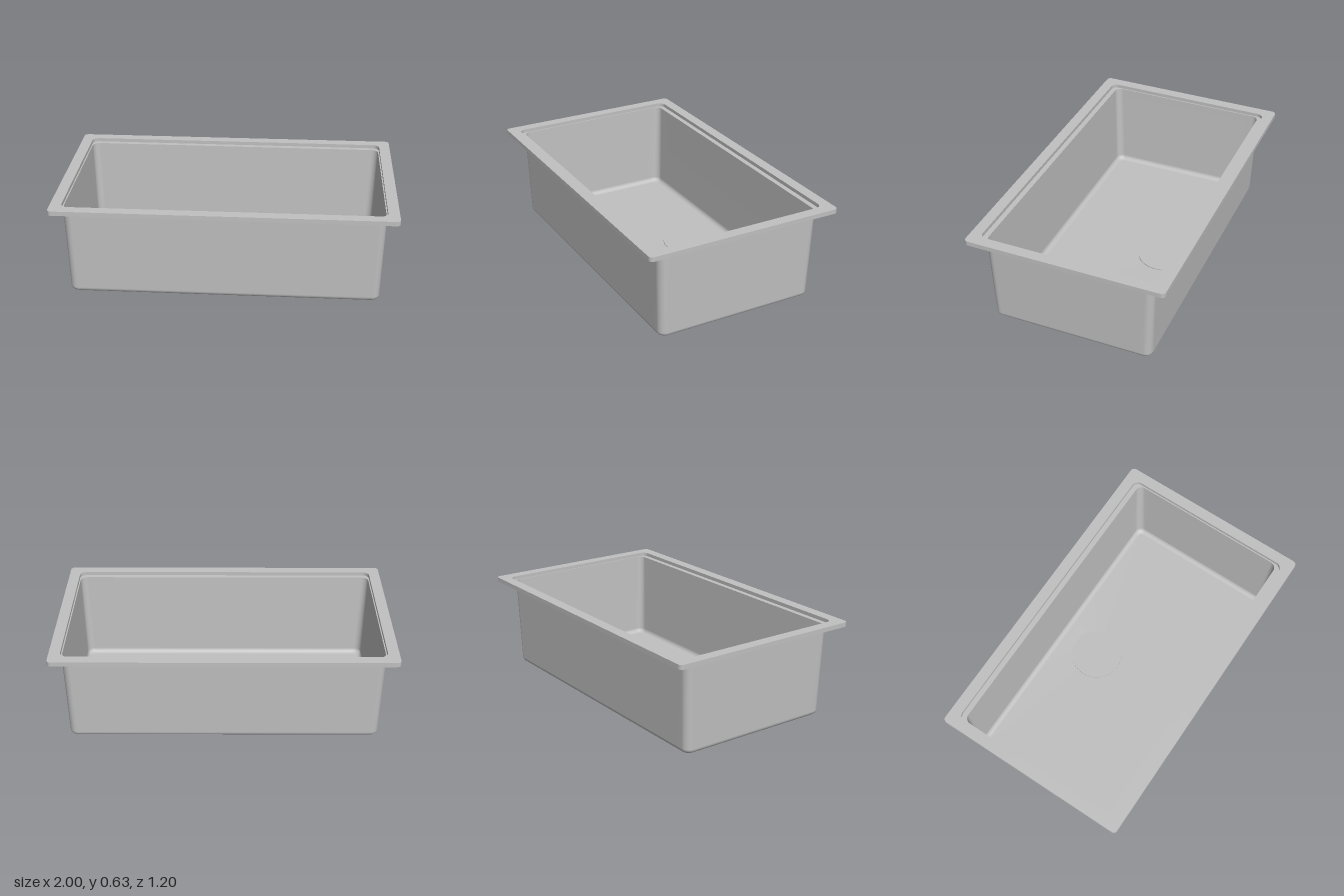
import * as THREE from 'three';

const DRAIN_Z = -0.215;
const ARC = 8, EDGE = 20;

// Rounded rectangle ring with evenly split straight edges
function rect(hx, hz, r, y) {
  const pts = [];
  const signs = [[1, 1], [-1, 1], [-1, -1], [1, -1]];
  const corner = (k, i) => {
    const a = (k % 4 + i / ARC) * Math.PI / 2;
    const [sx, sz] = signs[k % 4];
    return new THREE.Vector3(sx * (hx - r) + r * Math.cos(a), y, sz * (hz - r) + r * Math.sin(a));
  };
  for (let k = 0; k < 4; k++) {
    for (let i = 0; i <= ARC; i++) pts.push(corner(k, i));
    for (let i = 1; i < EDGE; i++) pts.push(corner(k, ARC).lerp(corner(k + 1, 0), i / EDGE));
  }
  return pts;
}

// Circle round the drain, its points lined up with those of the floor outline
function circle(r, y) {
  return rect(0.885, 0.462, 0.03, y).map((p) => {
    const a = Math.atan2(p.z - DRAIN_Z, p.x);
    return new THREE.Vector3(r * Math.cos(a), y, DRAIN_Z + r * Math.sin(a));
  });
}

// Skin joining consecutive rings
function loft(rings) {
  const n = rings[0].length, index = [];
  for (let j = 0; j < rings.length - 1; j++) {
    for (let i = 0; i < n; i++) {
      const a = j * n + i, b = j * n + (i + 1) % n;
      index.push(a, a + n, b, b, a + n, b + n);
    }
  }
  const g = new THREE.BufferGeometry().setFromPoints(rings.flat());
  g.setIndex(index);
  g.computeVertexNormals();
  return g;
}

// Rings of the rounded edge between floor and wall, from floor to wall
function fillet(hx, hz, y, r) {
  const rings = [];
  for (let i = 0; i <= 6; i++) {
    const a = i / 6 * Math.PI / 2, inset = r * (1 - Math.sin(a));
    rings.push(rect(hx - inset, hz - inset, 0.045 - inset * 0.5, y + r * (1 - Math.cos(a))));
  }
  return rings;
}

export function createModel() {
  const group = new THREE.Group();
  const steel = new THREE.MeshStandardMaterial({ color: 0xc0c0c0, side: THREE.DoubleSide });
  steel.name = 'brushed steel';
  const add = (name, geometry) => {
    const mesh = new THREE.Mesh(geometry, steel);
    mesh.name = name;
    group.add(mesh);
    return mesh;
  };

  // Outlet and outside of the bowl
  add('outletBottom', loft([circle(0, 0), circle(0.1, 0)]));
  add('bowlOutside', loft([
    circle(0.1, 0), circle(0.1, 0.018), circle(0.104, 0.03), circle(0.115, 0.039),
    circle(0.135, 0.043), circle(0.16, 0.0445),
    ...fillet(0.917, 0.493, 0.05, 0.03),
    rect(0.932, 0.509, 0.045, 0.598),
  ]));

  // Folded rim with a recessed ledge, each strip between two sharp edges
  const profile = [
    ['ledgeUnderside', [0.932, 0.509, 0.045, 0.598]],
    ['stepOutside', [0.94, 0.54, 0.045, 0.598]],
    ['rimUnderside', [0.94, 0.54, 0.045, 0.62]],
    ['lipInside', [0.993, 0.593, 0.018, 0.62]],
    ['lipBottom', [0.993, 0.593, 0.018, 0.6]],
    ['lipOutside', [1, 0.6, 0.025, 0.6]],
    ['rimTop', [1, 0.6, 0.025, 0.627]],
    ['stepInside', [0.934, 0.534, 0.04, 0.627]],
    ['ledgeTop', [0.934, 0.534, 0.04, 0.605]],
    ['', [0.927, 0.503, 0.04, 0.605]],
  ];
  for (let i = 0; i < profile.length - 1; i++) {
    add(profile[i][0], loft([rect(...profile[i][1]), rect(...profile[i + 1][1])]));
  }

  // Inside of the bowl, running down into the drain
  add('bowlInside', loft([
    rect(0.927, 0.503, 0.04, 0.605),
    ...fillet(0.911, 0.487, 0.056, 0.03).reverse(),
    circle(0.155, 0.051), circle(0.12, 0.046), circle(0.094, 0.03), circle(0.094, 0.008),
  ]));

  // Flat cover over the drain
  const cover = add('drainCover', new THREE.CylinderGeometry(0.16, 0.16, 0.006, 64));
  cover.position.set(0, 0.054, DRAIN_Z);

  return group;
}
